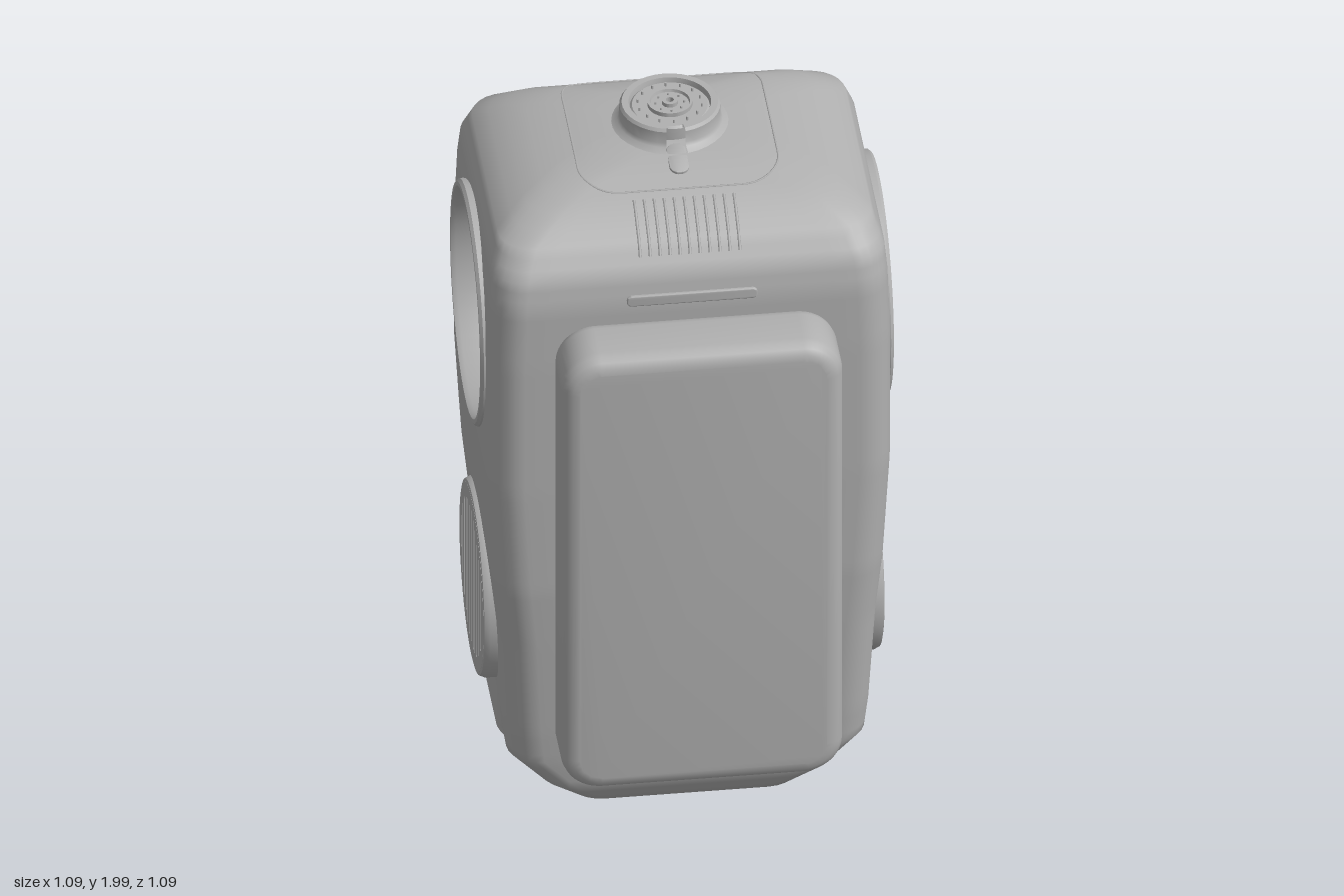
import * as THREE from 'three';
import { toCreasedNormals } from 'three/addons/utils/BufferGeometryUtils.js';

const grey = new THREE.MeshStandardMaterial({ name: 'shell grey', color: 0xb0b0b0, side: THREE.DoubleSide });
const SIDE_Z = -0.11, PORT_Y = 1.43, PORT_R = 0.31;

function add(parent, name, geometry, x = 0, y = 0, z = 0) {
  const mesh = new THREE.Mesh(geometry, grey);
  mesh.name = name;
  mesh.position.set(x, y, z);
  parent.add(mesh);
  return mesh;
}

function roundedRect(w, h, r) {
  const s = new THREE.Shape();
  s.absarc(w - r, h - r, r, 0, Math.PI / 2);
  s.absarc(-w + r, h - r, r, Math.PI / 2, Math.PI);
  s.absarc(-w + r, -h + r, r, Math.PI, Math.PI * 1.5);
  s.absarc(w - r, -h + r, r, Math.PI * 1.5, Math.PI * 2);
  s.closePath();
  return s;
}

// Rounded slab whose half sizes include the bevel, centred on z = 0
function slab(w, h, depth, r, bevel) {
  const g = new THREE.ExtrudeGeometry(roundedRect(w - bevel, h - bevel, r), {
    depth: depth - 2 * bevel, bevelThickness: bevel, bevelSize: bevel, bevelSegments: 4, curveSegments: 6 });
  return toCreasedNormals(g.translate(0, 0, -depth / 2 + bevel), 0.6);
}

// Profile of [radius, height] pairs turned about y, with an optional gap facing +z
const turned = (pts, n = 40, gap = 0) => toCreasedNormals(
  new THREE.LatheGeometry(pts.map(p => new THREE.Vector2(...p)), n, gap, Math.PI * 2 - 2 * gap), 0.6);
// The same, turned about x
const turnedX = (pts, n) => turned(pts, n).rotateZ(-Math.PI / 2);

// Closed cross-section with rounded corners
function ring(a, zf, zb, r) {
  const pts = [];
  const line = (x0, z0, x1, z1, n) => {
    for (let k = 0; k < n; k++) pts.push([x0 + (x1 - x0) * k / n, z0 + (z1 - z0) * k / n]);
  };
  const corner = (cx, cz, start) => {
    for (let k = 0; k < 6; k++) {
      const t = start + Math.PI / 2 * k / 6;
      pts.push([cx + r * Math.cos(t), cz + r * Math.sin(t)]);
    }
  };
  line(a, zb + r, a, zf - r, 24);
  corner(a - r, zf - r, 0);
  line(a - r, zf, r - a, zf, 14);
  corner(r - a, zf - r, Math.PI / 2);
  line(-a, zf - r, -a, zb + r, 24);
  corner(r - a, zb + r, Math.PI);
  line(r - a, zb, a - r, zb, 14);
  corner(a - r, zb + r, Math.PI * 1.5);
  return pts;
}

// 0 at the front lip, 1 along the sides and back
const backness = z => 1 - THREE.MathUtils.smoothstep(z, -0.08, 0.14);

// Height of the open lower rim: low front lip, higher sides, arched back
function rimHeight(x, z) {
  const arch = z < -0.3 ? 0.17 * Math.max(0, 1 - (x / 0.36) ** 2) * Math.min(1, (-0.3 - z) / 0.08) : 0;
  return 0.01 + 0.09 * backness(z) + arch;
}

function shellGeometry() {
  // y, half width, front z, back z
  const keys = [
    [0.01, 0.28, 0.15, -0.43], [0.03, 0.305, 0.19, -0.455], [0.1, 0.38, 0.235, -0.468], [0.2, 0.47, 0.25, -0.475],
    [0.3, 0.48, 0.262, -0.483], [0.6, 0.495, 0.29, -0.513], [0.78, 0.512, 0.305, -0.525], [1.1, 0.53, 0.313, -0.536],
    [1.5, 0.53, 0.315, -0.532], [1.68, 0.524, 0.312, -0.518], [1.76, 0.517, 0.295, -0.505], [1.83, 0.49, 0.24, -0.475],
    [1.88, 0.41, 0.16, -0.42], [1.91, 0.31, 0.07, -0.37], [1.93, 0.2, 0, -0.3]];
  const rows = [];
  keys.forEach((k, i) => {
    const next = keys[i + 1];
    const n = next ? Math.ceil((next[0] - k[0]) / 0.03) : 1;
    for (let j = 0; j < n; j++) rows.push(next ? k.map((v, c) => v + (next[c] - v) * j / n) : k);
  });
  const pos = [], inside = [], index = [];
  let n = 0;
  for (const [y0, a, zf, zb] of rows) {
    const pts = ring(a, zf, zb, 0.09);
    n = pts.length;
    for (let [x, z] of pts) {
      let y = y0;
      // Only the front lip tapers; sides and back run straight down
      if (y < 0.2) x *= 1 + (0.465 / a - 1) * backness(z);
      if (y < 0.9) {
        const b = rimHeight(x, z);
        y = b + (y - 0.01) * (0.9 - b) / 0.89;
      }
      // Snap vertices within a shoulder port to its edge
      const d = Math.hypot(z - SIDE_Z, y - PORT_Y);
      const cut = Math.abs(x) > 0.4 && d < PORT_R;
      if (cut) {
        const f = PORT_R / Math.max(d, 0.001);
        z = SIDE_Z + (z - SIDE_Z) * f;
        y = PORT_Y + (y - PORT_Y) * f;
      }
      inside.push(cut);
      pos.push(x, y, z);
    }
  }
  const tri = (a, b, c) => { if (!(inside[a] && inside[b] && inside[c])) index.push(a, b, c); };
  for (let j = 0; j < rows.length - 1; j++) for (let i = 0; i < n; i++) {
    const a = j * n + i, b = j * n + (i + 1) % n;
    tri(a, a + n, b);
    tri(b, a + n, b + n);
  }
  const top = pos.length / 3, last = top - n;
  pos.push(0, 1.935, -0.15);
  for (let i = 0; i < n; i++) index.push(last + i, top, last + (i + 1) % n);
  const g = new THREE.BufferGeometry();
  g.setAttribute('position', new THREE.Float32BufferAttribute(pos, 3));
  g.setIndex(index);
  g.computeVertexNormals();
  return g;
}

// Bolted joint plate about x, outer face at x = 0
function jointDisc(name, r, depth) {
  const g = new THREE.Group();
  g.name = name;
  add(g, 'plate', turnedX([[0, -depth], [r, -depth], [r, -0.006], [r - 0.006, 0], [0.56 * r, 0], [0.56 * r, 0.012],
    [0.5 * r, 0.012], [0.48 * r, 0.004], [0.2 * r, 0.004], [0.2 * r, 0.015], [0.1 * r, 0.015], [0.1 * r, 0], [0, 0]]));
  for (const [count, radius] of [[14, 0.8], [8, 0.36]]) for (let i = 0; i < count; i++) {
    const t = i / count * Math.PI * 2;
    add(g, 'bolt', new THREE.CylinderGeometry(0.03 * r, 0.03 * r, 0.012, 6).rotateZ(-Math.PI / 2),
      0.004, radius * r * Math.sin(t), radius * r * Math.cos(t));
  }
  return g;
}

function slotPath(x, y, w, h) {
  const p = new THREE.Path();
  p.moveTo(x - w, y - h).lineTo(x - w, y + h).lineTo(x + w, y + h).lineTo(x + w, y - h).closePath();
  return p;
}

function sideParts() {
  const g = new THREE.Group();
  const disc = (name, r, depth, x, y, turn = 0) => {
    const d = jointDisc(name, r, depth);
    d.position.set(x, y, SIDE_Z);
    d.rotation.y = turn;
    g.add(d);
  };
  // Shoulder port with recessed joint
  add(g, 'portCollar', turnedX([[0.325, 0.48], [0.325, 0.535], [0.318, 0.543], [0.306, 0.543], [0.3, 0.53], [0.3, 0.41]], 48),
    0, PORT_Y, SIDE_Z);
  const back = new THREE.Shape().absarc(0, 0, 0.31, 0, Math.PI * 2);
  back.holes.push(slotPath(0.28, 0, 0.019, 0.037), slotPath(-0.28, 0, 0.019, 0.037), slotPath(0, -0.294, 0.05, 0.006));
  add(g, 'portBulkhead', new THREE.ExtrudeGeometry(back, { depth: 0.01, bevelEnabled: false, curveSegments: 24 })
    .rotateY(Math.PI / 2), 0.34, PORT_Y, SIDE_Z);
  disc('shoulderJoint', 0.258, 0.06, 0.455, PORT_Y);
  // Round slotted grille
  const y = 0.555;
  add(g, 'grilleRim', turnedX([[0.265, 0.44], [0.265, 0.51], [0.258, 0.525], [0.248, 0.527]], 48), 0, y, SIDE_Z);
  add(g, 'grilleBacking', turnedX([[0, 0.43], [0.25, 0.43], [0.25, 0.512], [0, 0.512]], 40), 0, y, SIDE_Z);
  const face = new THREE.Shape().absarc(0, 0, 0.25, 0, Math.PI * 2);
  for (let i = -5; i <= 5; i++) {
    const x = i * 0.036;
    face.holes.push(slotPath(x, 0, 0.006, Math.sqrt(0.212 ** 2 - x * x) * 0.98));
  }
  face.holes.push(slotPath(0.215, 0, 0.005, 0.05));
  add(g, 'grilleFace', new THREE.ExtrudeGeometry(face, { depth: 0.013, bevelEnabled: false, curveSegments: 24 })
    .rotateY(Math.PI / 2), 0.514, y, SIDE_Z);
  disc('grilleDriver', 0.22, 0.06, 0.37, y, Math.PI);
  // Hip joint under the body, bolted on both faces
  disc('hipOuterJoint', 0.11, 0.06, 0.29, 0.115);
  disc('hipInnerJoint', 0.11, 0.06, 0.17, 0.115, Math.PI);
  add(g, 'hipBracket', new THREE.BoxGeometry(0.04, 0.3, 0.1), 0.25, 0.33, SIDE_Z);
  add(g, 'hipLink', new THREE.BoxGeometry(0.2, 0.06, 0.1), 0.34, 0.47, SIDE_Z);
  return g;
}

export function createModel() {
  const model = new THREE.Group();
  model.name = 'torso';
  const shell = add(model, 'bodyShell', shellGeometry());
  const ray = new THREE.Raycaster();
  const onTop = (x, z, lift) => {
    ray.set(new THREE.Vector3(x, 3, z), new THREE.Vector3(0, -1, 0));
    const hit = ray.intersectObject(shell)[0];
    return new THREE.Vector3(x, (hit ? hit.point.y : 1.9) + lift, z);
  };

  for (const s of [1, -1]) {
    const side = sideParts();
    side.name = s > 0 ? 'leftSide' : 'rightSide';
    side.scale.x = s;
    model.add(side);
  }
  add(model, 'shoulderAxle', new THREE.CylinderGeometry(0.09, 0.09, 0.8, 24).rotateZ(Math.PI / 2), 0, PORT_Y, SIDE_Z);

  // Chest pack and its mount
  add(model, 'chestPack', slab(0.37, 0.685, 0.2, 0.06, 0.045), 0, 0.985, 0.445);
  add(model, 'chestMount', slab(0.305, 0.615, 0.13, 0.07, 0.012), 0, 0.985, 0.295);
  // Back panel and handle slots
  add(model, 'backPanel', slab(0.3, 0.54, 0.05, 0.04, 0.006), 0, 1.06, -0.518);
  add(model, 'frontSlot', slab(0.172, 0.016, 0.02, 0.01, 0.004), 0, 1.692, 0.304);
  add(model, 'backSlot', slab(0.172, 0.016, 0.02, 0.01, 0.004), 0, 1.692, -0.509);

  // Vent louvres on the front slope
  for (let i = -5; i <= 5; i++) {
    const pts = [0.135, 0.17, 0.2, 0.235, 0.265].map(z => onTop(i * 0.0262, z, 0));
    add(model, 'ventLouvre', new THREE.TubeGeometry(new THREE.CatmullRomCurve3(pts), 8, 0.0045, 5));
  }
  // Seam of the neck hatch
  const seam = roundedRect(0.263, 0.263, 0.1).getSpacedPoints(64).slice(0, -1).map(p => onTop(p.x, p.y - 0.155, -0.001));
  add(model, 'neckSeam', new THREE.TubeGeometry(new THREE.CatmullRomCurve3(seam, true), 128, 0.003, 5, true));

  // Neck collar with a cable gap at the front, and its joint plate
  add(model, 'neckCollar', turned([[0.16, 1.9], [0.155, 1.93], [0.138, 1.94], [0.132, 1.95], [0.132, 1.984], [0.126, 1.992],
    [0.108, 1.992], [0.104, 1.975], [0.104, 1.95]], 32, 0.19), 0, 0, -0.155);
  const neck = jointDisc('neckJoint', 0.105, 0.04);
  neck.rotation.z = Math.PI / 2;
  neck.position.set(0, 1.982, -0.155);
  model.add(neck);
  add(model, 'cableSlot', slab(0.026, 0.055, 0.012, 0.022, 0.003).rotateX(-Math.PI / 2 + 0.15), 0, 1.922, 0.01);
  return model;
}
